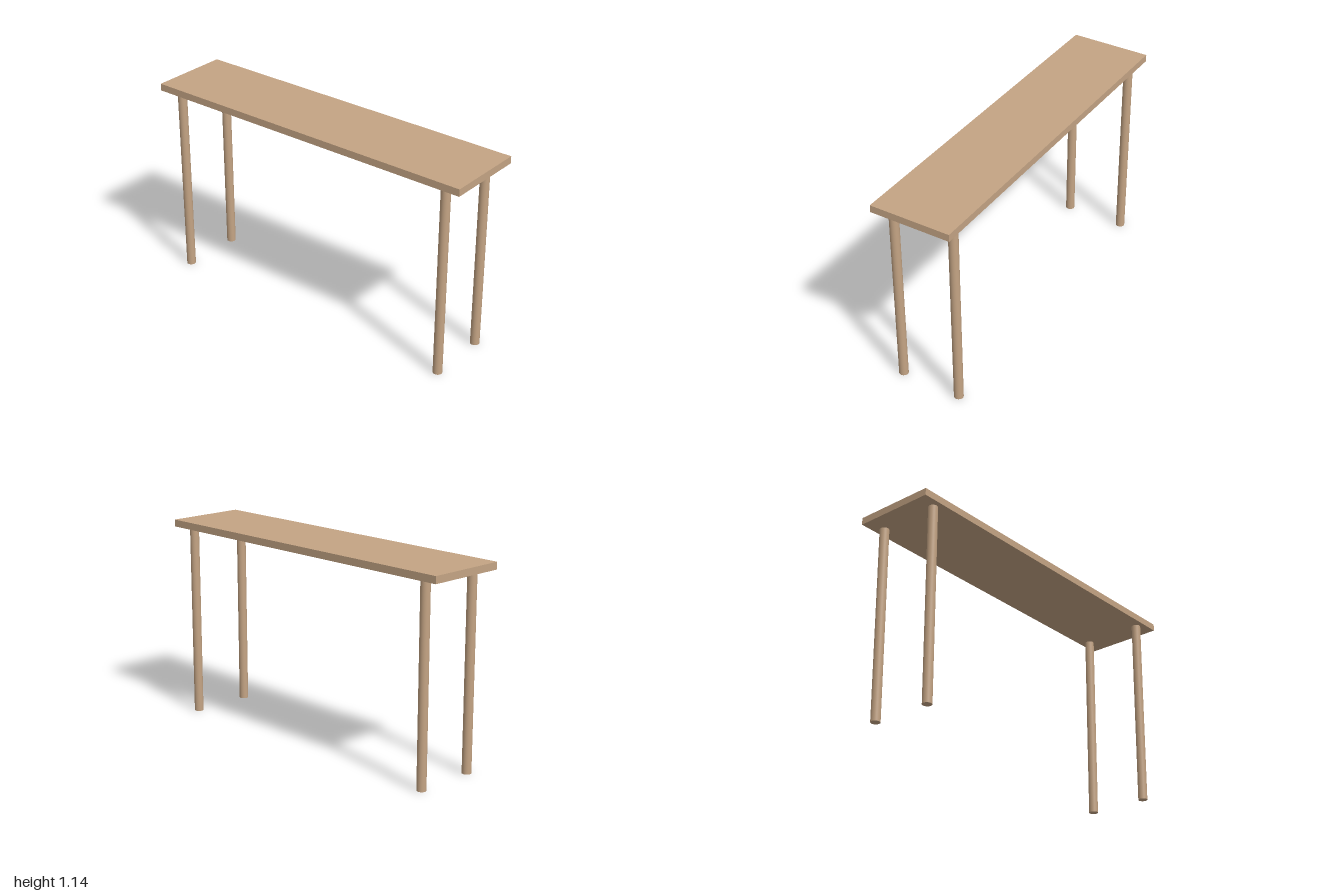
import * as THREE from 'three';

export function createModel() {
  const group = new THREE.Group();
  const wood = new THREE.MeshStandardMaterial({ color: 0xc4a484 });
  const legHeight = 1.097, topThickness = 0.04, legRadius = 0.0257;

  // Flat rectangular top
  const top = new THREE.Mesh(new THREE.BoxGeometry(2, topThickness, 0.457), wood);
  top.name = 'tableTop';
  top.position.y = legHeight + topThickness / 2;
  group.add(top);

  // Four round legs, set in from the corners
  const legGeometry = new THREE.CylinderGeometry(legRadius, legRadius, legHeight, 32);
  for (const [side, x] of [['Left', 0.888], ['Right', -0.888]]) {
    for (const [end, z] of [['front', 0.175], ['back', -0.175]]) {
      const leg = new THREE.Mesh(legGeometry, wood);
      leg.name = `${end}${side}Leg`;
      leg.position.set(x, legHeight / 2, z);
      group.add(leg);
    }
  }
  return group;
}
